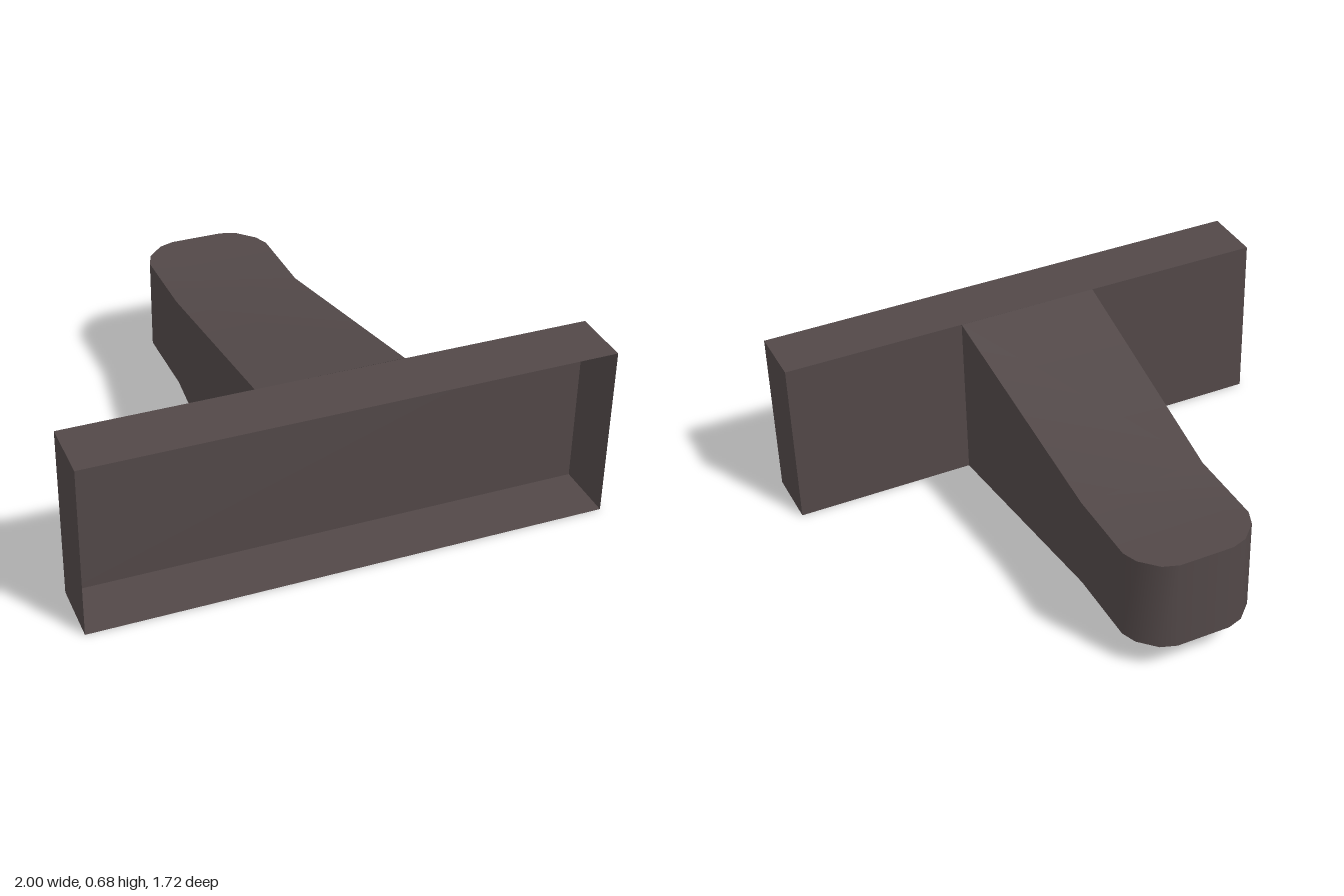
import * as THREE from 'three';
import { toCreasedNormals } from 'three/addons/utils/BufferGeometryUtils.js';

// Lofts rectangular sections from front to back; open at the front, capped at the back.
// Each section: [left x, left z, right x, right z, bottom y, top y]
function loft(sections) {
  const rings = sections.map(([xl, zl, xr, zr, y0, y1]) => [
    [xl, y1, zl], [xl, y0, zl], [xr, y0, zr], [xr, y1, zr],
  ]);
  const pos = [];
  const quad = (a, b, c, d) => pos.push(...a, ...b, ...c, ...a, ...c, ...d);
  for (let i = 0; i < rings.length - 1; i++) {
    for (let k = 0; k < 4; k++) {
      const n = (k + 1) % 4;
      quad(rings[i][k], rings[i + 1][k], rings[i + 1][n], rings[i][n]);
    }
  }
  const [lt, lb, rb, rt] = rings[rings.length - 1];
  quad(rt, rb, lb, lt);
  const geometry = new THREE.BufferGeometry();
  geometry.setAttribute('position', new THREE.Float32BufferAttribute(pos, 3));
  return toCreasedNormals(geometry, 0.7);
}

export function createModel() {
  const group = new THREE.Group();
  const material = new THREE.MeshStandardMaterial({ color: 0x524848, side: THREE.DoubleSide });
  material.name = 'dark brown grey';

  const add = (name, sections) => {
    const mesh = new THREE.Mesh(loft(sections), material);
    mesh.name = name;
    group.add(mesh);
  };

  // Slightly skewed hollow plate, open towards the front
  add('frontPlate', [
    [-1, 0.79, 0.99, 0.86, 0, 0.68],
    [-0.99, 0.545, 1, 0.62, 0, 0.68],
  ]);

  // Tapering arm with a rounded end
  const y0 = 0.12, y1 = 0.49;
  add('arm', [
    [-0.28, 0.572, 0.285, 0.592, 0, 0.68],
    [-0.2, -0.4, 0.3, -0.39, y0, y1],
    [-0.19, -0.725, 0.31, -0.705, y0, y1],
    [-0.165, -0.785, 0.29, -0.765, y0, y1],
    [-0.1, -0.845, 0.23, -0.832, y0, y1],
    [-0.04, -0.863, 0.17, -0.856, y0, y1],
  ]);

  return group;
}
